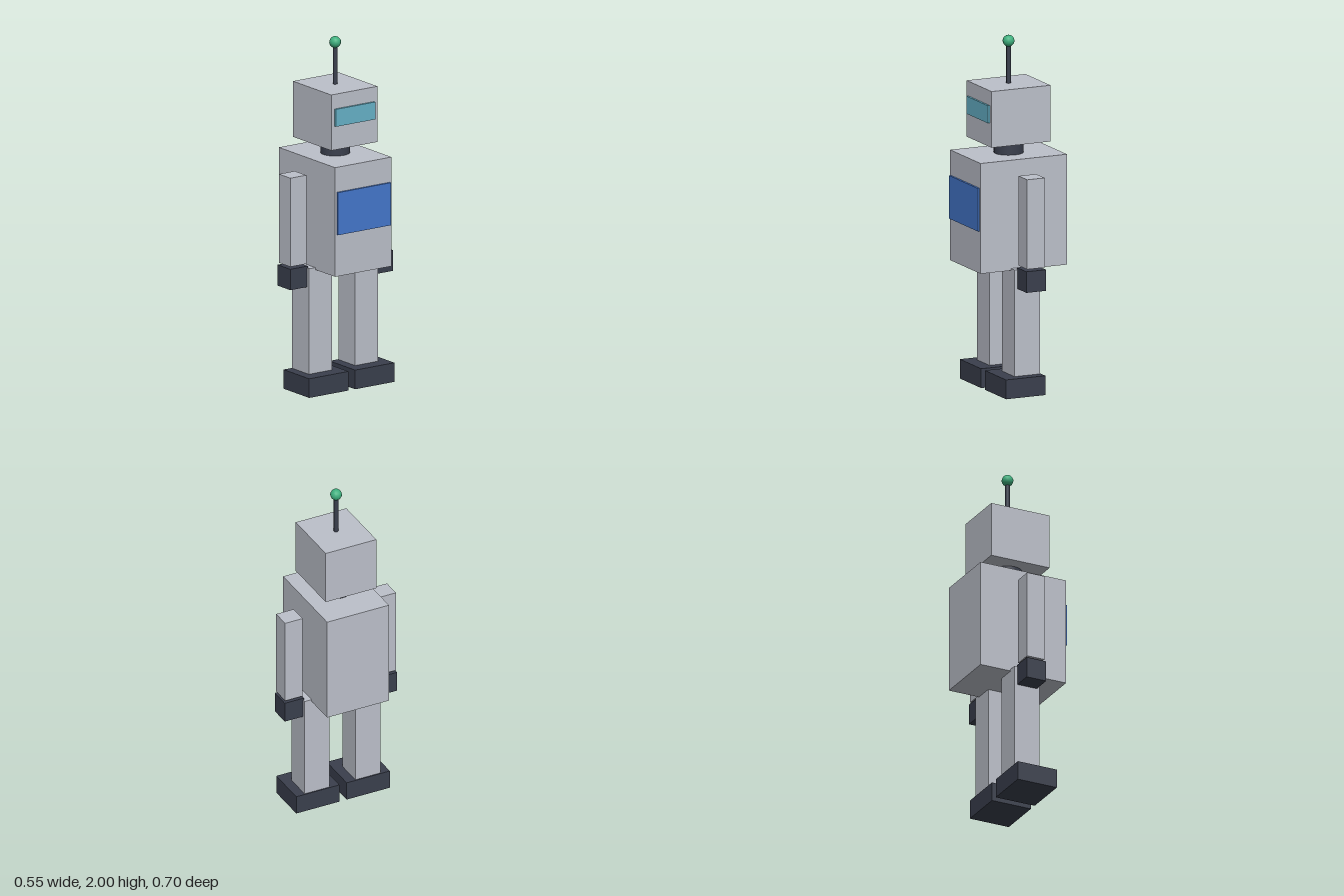
import * as THREE from 'three';

const mat = (name, color) => {
  const m = new THREE.MeshStandardMaterial({ color });
  m.name = name;
  return m;
};

export function createModel() {
  const shell = mat('light grey shell', 0xbcc0ca);
  const dark = mat('dark slate', 0x3a3f4d);
  const blue = mat('blue panel', 0x4477cc);
  const cyan = mat('cyan visor', 0x66b2c8);
  const green = mat('green bulb', 0x3eb07e);

  const model = new THREE.Group();
  model.name = 'robot';
  const axis = -0.007; // x of the upright centre line

  const add = (name, geometry, material, x, y, z, parent = model) => {
    const mesh = new THREE.Mesh(geometry, material);
    mesh.name = name;
    mesh.position.set(x, y, z);
    parent.add(mesh);
    return mesh;
  };
  // Box given by its extents on each axis
  const box = (name, material, [x0, x1], [y0, y1], [z0, z1], parent) =>
    add(name, new THREE.BoxGeometry(x1 - x0, y1 - y0, z1 - z0), material,
      (x0 + x1) / 2, (y0 + y1) / 2, (z0 + z1) / 2, parent);

  // Torso and chest panel; the robot faces +x
  box('torso', shell, [-0.274, 0.26], [0.705, 1.333], [-0.193, 0.193]);
  box('chestPanel', blue, [0.255, 0.272], [0.945, 1.19], [-0.182, 0.182]);

  // Neck, head and visor
  add('neck', new THREE.CylinderGeometry(0.083, 0.083, 0.08, 24), dark, axis, 1.37, 0);
  box('head', shell, [-0.189, 0.175], [1.407, 1.727], [-0.158, 0.158]);
  box('visor', cyan, [0.17, 0.187], [1.543, 1.643], [-0.135, 0.135]);

  // Antenna
  add('antennaRod', new THREE.CylinderGeometry(0.013, 0.013, 0.24, 12), dark, axis, 1.842, 0);
  add('antennaBulb', new THREE.SphereGeometry(0.033, 12, 10), green, axis, 1.967, 0);

  // Limbs, mirrored across z
  for (const [side, s] of [['left', -1], ['right', 1]]) {
    const span = (a, b) => (s > 0 ? [a, b] : [-b, -a]);
    const arm = new THREE.Group();
    arm.name = side + 'Arm';
    box(side + 'ArmBar', shell, [-0.062, 0.047], [0.74, 1.25], span(0.237, 0.346), arm);
    box(side + 'Hand', dark, [-0.067, 0.054], [0.608, 0.728], span(0.231, 0.351), arm);
    const leg = new THREE.Group();
    leg.name = side + 'Leg';
    box(side + 'LegBar', shell, [-0.086, 0.072], [0.11, 0.717], span(0.08, 0.237), leg);
    box(side + 'Foot', dark, [-0.092, 0.151], [0, 0.11], span(0.023, 0.292), leg);
    model.add(arm, leg);
  }
  return model;
}
